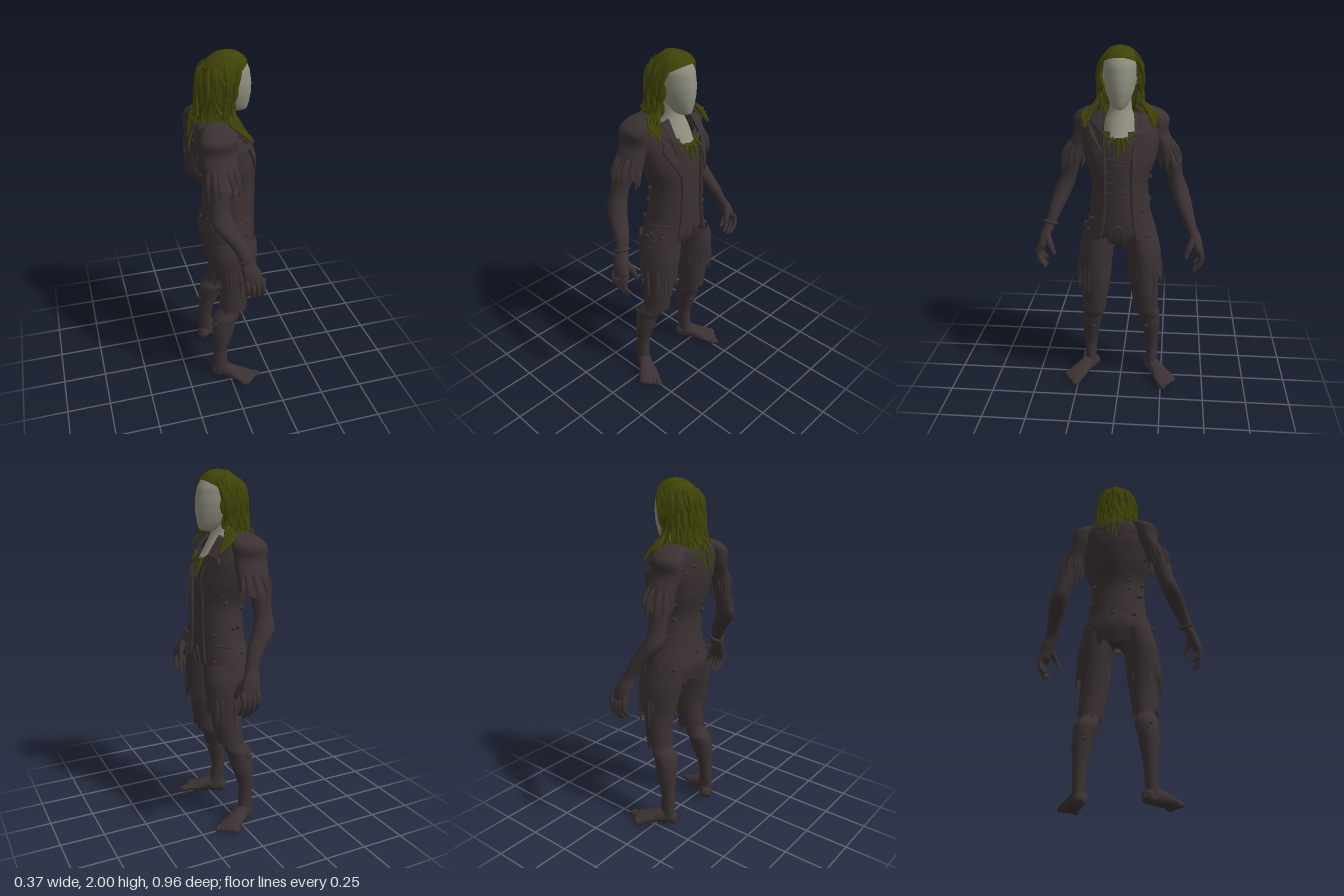
import * as THREE from 'three';

const V = (x, y, z) => new THREE.Vector3(x, y, z);
let seed = 7;
const rnd = () => (seed = (seed * 16807) % 2147483647) / 2147483647;
const TAU = Math.PI * 2;

const cloth = new THREE.MeshStandardMaterial({ color: 0x3b3132, side: THREE.DoubleSide });
cloth.name = 'dark brown';
const hairMat = new THREE.MeshStandardMaterial({ color: 0x404306, side: THREE.DoubleSide });
hairMat.name = 'moss green';
const skin = new THREE.MeshStandardMaterial({ color: 0x8f8f80 });
skin.name = 'pale grey';

// Smooth skin over sections [x, y, z, rx, r2, opening]; rings lie across y, or across z for feet
function loft(sections, { s = 1, n = 24, rows = 6, axis = 'y', open = false, tweak } = {}) {
  const mid = new THREE.CatmullRomCurve3(sections.map(p => V(p[0] * s, p[1], p[2])));
  const rad = new THREE.CatmullRomCurve3(sections.map(p => V(p[3], p[4], p[5] || 0)));
  const R = (sections.length - 1) * rows, cols = open ? n + 1 : n, pos = [], idx = [];
  for (let i = 0; i <= R; i++) {
    const c = mid.getPoint(i / R), r = rad.getPoint(i / R), a0 = open ? r.z : 0;
    for (let j = 0; j < cols; j++) {
      const t = a0 + (TAU - 2 * a0) * j / n, u = r.x * Math.sin(t), w = r.y * Math.cos(t);
      const p = axis === 'y' ? V(c.x + u, c.y, c.z + w) : V(c.x + u, c.y + w, c.z);
      if (tweak) tweak(p, i / R, j);
      pos.push(p.x, p.y, p.z);
    }
  }
  for (let i = 0; i < R; i++) for (let j = 0; j < n; j++) {
    const a = i * cols + j, b = i * cols + (j + 1) % cols;
    idx.push(a, a + cols, b, b, a + cols, b + cols);
  }
  const g = new THREE.BufferGeometry();
  g.setAttribute('position', new THREE.Float32BufferAttribute(pos, 3));
  g.setIndex(idx);
  g.computeVertexNormals();
  return g;
}

// Tube that tapers from r0 to r1 along points
function strand(points, r0, r1, seg = 10, sides = 6) {
  const curve = new THREE.CatmullRomCurve3(points.map(p => V(...p)));
  const g = new THREE.TubeGeometry(curve, seg, 1, sides), pos = g.attributes.position, p = V();
  for (let k = 0; k < pos.count; k++) {
    const f = Math.floor(k / (sides + 1)) / seg, c = curve.getPointAt(f);
    p.fromBufferAttribute(pos, k).sub(c).multiplyScalar(r0 + (r1 - r0) * f).add(c);
    pos.setXYZ(k, p.x, p.y, p.z);
  }
  return g;
}

// Uneven torn lower edge
const torn = (len, n) => {
  const drop = Array.from({ length: n + 1 }, (_, j) => (j % 3 ? 0.5 : 1) * rnd() * len);
  return (p, f, j) => { if (f > 0.75) p.y -= drop[j] * (f - 0.75) * 4; };
};

const JACKET = [
  [0, 1.68, -0.04, 0.09, 0.085, 1.0], [0, 1.645, -0.045, 0.165, 0.115, 0.75],
  [0, 1.58, -0.025, 0.215, 0.14, 0.5], [0, 1.5, -0.005, 0.215, 0.155, 0.42],
  [0, 1.4, 0.015, 0.195, 0.155, 0.4], [0, 1.25, 0.04, 0.155, 0.138, 0.5],
  [0, 1.1, 0.035, 0.17, 0.143, 0.5], [0, 1.0, 0.027, 0.2, 0.153, 0.5],
  [0, 0.91, 0.035, 0.217, 0.141, 0.58]];

// Front depth of the jacket at x, y
function chestZ(x, y) {
  let i = 0;
  while (i < JACKET.length - 2 && JACKET[i + 1][1] > y) i++;
  const a = JACKET[i], b = JACKET[i + 1], f = (a[1] - y) / (a[1] - b[1]);
  const m = k => a[k] + (b[k] - a[k]) * f;
  return m(2) + m(4) * Math.sqrt(Math.max(0, 1 - (x / m(3)) ** 2));
}

export function createModel() {
  seed = 7;
  const body = new THREE.Group();
  body.name = 'figure';
  const add = (name, geo, mat, parent = body) => {
    const m = new THREE.Mesh(geo, mat);
    m.name = name;
    parent.add(m);
    return m;
  };

  // Head and neck
  add('head', loft([[0, 1.978, 0.02, 0.01, 0.01], [0, 1.957, 0.022, 0.062, 0.092], [0, 1.9, 0.028, 0.088, 0.12],
    [0, 1.84, 0.033, 0.088, 0.125], [0, 1.78, 0.045, 0.078, 0.114], [0, 1.72, 0.067, 0.055, 0.083],
    [0, 1.685, 0.085, 0.032, 0.052], [0, 1.672, 0.09, 0.003, 0.005]]), skin);
  add('neck', loft([[0, 1.77, 0, 0.058, 0.06], [0, 1.67, 0, 0.06, 0.068], [0, 1.6, 0.01, 0.085, 0.09],
    [0, 1.53, 0.03, 0.09, 0.112]]), skin);
  for (const s of [-1, 1]) {
    const ear = add('ear', new THREE.SphereGeometry(0.03, 12, 8), skin);
    ear.scale.set(0.4, 1.1, 0.7);
    ear.position.set(s * 0.088, 1.83, 0.03);
  }

  // Shirt and hips
  add('shirt', loft([[0, 1.56, 0, 0.14, 0.115], [0, 1.5, 0.005, 0.19, 0.138], [0, 1.4, 0.015, 0.18, 0.14],
    [0, 1.25, 0.04, 0.142, 0.122], [0, 1.1, 0.035, 0.16, 0.13], [0, 1.0, 0.03, 0.18, 0.13],
    [0, 0.94, 0.03, 0.14, 0.115], [0, 0.89, 0.03, 0.02, 0.03]]), cloth);
  for (let k = 0; k < 6; k++) {
    const y = 1.1 + k * 0.06;
    add('shirtFold', strand([-0.08, -0.03, 0.03, 0.08].map(x => [x, y + rnd() * 0.02, chestZ(x, y) - 0.018]),
      0.007, 0.004), cloth);
  }

  // Jacket with edging, waist seam and lapels
  add('jacket', loft(JACKET, { n: 56, open: true, tweak: torn(0.05, 56) }), cloth);
  add('waistSeam', strand(Array.from({ length: 13 }, (_, k) => {
    const t = 0.9 + (TAU - 1.8) * k / 12;
    return [0.176 * Math.sin(t), 1.06 + 0.02 * Math.cos(t), 0.033 + 0.145 * Math.cos(t)];
  }), 0.007, 0.007, 40), cloth);
  for (const s of [-1, 1]) {
    add('jacketEdge', strand([...JACKET.slice(1).map(p =>
      [s * p[3] * Math.sin(p[5]), p[1], p[2] + p[4] * Math.cos(p[5])]),
    [s * 0.128, 0.84, 0.165], [s * 0.14, 0.74, 0.158]], 0.012, 0.009, 50), cloth);
    const lapel = new THREE.Shape([[0.075, 1.66], [0.17, 1.61], [0.15, 1.55], [0.165, 1.52], [0.125, 1.44],
      [0.085, 1.36], [0.075, 1.45], [0.085, 1.56]].map(([x, y]) => new THREE.Vector2(s * x, y)));
    const g = new THREE.ExtrudeGeometry(lapel, { depth: 0.014, bevelEnabled: false }), pos = g.attributes.position;
    for (let k = 0; k < pos.count; k++)
      pos.setZ(k, pos.getZ(k) + chestZ(pos.getX(k), pos.getY(k)) + 0.008);
    g.computeVertexNormals();
    add('lapel', g, cloth);
  }
  for (const x of [-0.035, 0.02])
    add('waistCord', strand([[0, 1.05, 0.16], [x, 1.02, 0.168], [x * 1.4, 0.93, 0.15]], 0.008, 0.005), cloth);

  for (const s of [-1, 1]) {
    // Sleeve with a sloping shoulder, and arm
    add('sleeve', loft([[0.1, 1.678, -0.045, 0.02, 0.04], [0.155, 1.65, -0.052, 0.06, 0.08],
      [0.192, 1.605, -0.062, 0.07, 0.1], [0.2, 1.54, -0.062, 0.058, 0.097], [0.238, 1.46, -0.06, 0.056, 0.09],
      [0.272, 1.39, -0.058, 0.066, 0.088]], { s, n: 32, tweak: torn(0.06, 32) }), cloth);
    for (let k = 0; k < 11; k++) {
      const t = TAU * (k + rnd() * 0.7) / 11, u = 0.062 * Math.sin(t), w = 0.083 * Math.cos(t);
      add('sleeveTatter', strand([[s * (0.24 + u * 0.6), 1.47, -0.06 + w * 0.8], [s * (0.262 + u), 1.41, -0.06 + w],
        [s * (0.275 + u), 1.37 - rnd() * 0.06, -0.058 + w]], 0.018, 0.004), cloth);
    }
    add('arm', loft([[0.2, 1.56, -0.06, 0.045, 0.065], [0.268, 1.4, -0.075, 0.052, 0.058],
      [0.302, 1.27, -0.086, 0.046, 0.052], [0.33, 1.19, -0.075, 0.05, 0.06], [0.372, 1.08, -0.005, 0.04, 0.045],
      [0.402, 1.0, 0.03, 0.031, 0.037], [0.425, 0.95, 0.045, 0.033, 0.048], [0.442, 0.89, 0.06, 0.028, 0.053],
      [0.448, 0.855, 0.065, 0.01, 0.038]], { s, n: 20 }), cloth);

    // Fingers and thumb
    for (let k = 0; k < 4; k++) {
      const z = 0.022 + k * 0.028, l = [0.085, 0.11, 0.115, 0.095][k];
      add('finger', strand([[s * 0.442, 0.9, z], [s * 0.462, 0.86, z], [s * 0.455, 0.86 - l * 0.5, z + 0.005],
        [s * 0.425, 0.87 - l, z + 0.008]], 0.019, 0.01, 10, 8), cloth);
    }
    add('thumb', strand([[s * 0.42, 0.95, 0.07], [s * 0.392, 0.9, 0.1], [s * 0.373, 0.845, 0.108]],
      0.022, 0.012, 10, 8), cloth);

    // Leg, shorts with hanging rags, torn knee cloth
    add('leg', loft([[0.1, 0.97, 0.03, 0.09, 0.12], [0.125, 0.83, 0.04, 0.083, 0.106],
      [0.138, 0.66, 0.05, 0.078, 0.086], [0.152, 0.53, 0.035, 0.062, 0.07], [0.167, 0.42, -0.02, 0.062, 0.07],
      [0.18, 0.34, -0.034, 0.056, 0.063], [0.187, 0.2, -0.053, 0.037, 0.041], [0.19, 0.1, -0.05, 0.034, 0.044],
      [0.19, 0.03, -0.045, 0.036, 0.048]], { s }), cloth);
    add('shorts', loft([[0.115, 0.97, 0.032, 0.09, 0.14], [0.132, 0.88, 0.04, 0.097, 0.136],
      [0.141, 0.8, 0.045, 0.096, 0.125], [0.146, 0.73, 0.05, 0.093, 0.112]],
      { s, n: 32, tweak: torn(0.07, 32) }), cloth);
    for (let k = 0; k < 14; k++) {
      const t = TAU * (k + rnd() * 0.7) / 14, u = 0.09 * Math.sin(t), w = 0.107 * Math.cos(t);
      const y = 0.71 - rnd() * 0.1 * (1.2 + Math.sin(t)) / 1.8;
      add('hemRag', strand([[s * (0.138 + u * 0.8), 0.83, 0.045 + w * 0.9], [s * (0.145 + u), 0.75, 0.05 + w],
        [s * (0.148 + u), y, 0.052 + w]], 0.02, 0.003), cloth);
    }
    add('trouserLeg', loft([[0.136, 0.72, 0.05, 0.08, 0.092], [0.145, 0.6, 0.046, 0.077, 0.084],
      [0.153, 0.52, 0.033, 0.07, 0.08]], { s, n: 32, tweak: torn(0.07, 32) }), cloth);

    // Foot with toes, turned outward
    const foot = new THREE.Group();
    foot.name = 'foot';
    foot.position.set(s * 0.188, 0, -0.05);
    foot.rotation.y = s * 0.55;
    body.add(foot);
    add('footBody', loft([[0, 0.035, -0.058, 0.005, 0.005], [0, 0.04, -0.04, 0.036, 0.036],
      [0, 0.05, 0.01, 0.038, 0.048], [0, 0.042, 0.08, 0.046, 0.04], [0, 0.03, 0.145, 0.06, 0.027],
      [0, 0.024, 0.19, 0.059, 0.02], [0, 0.02, 0.205, 0.02, 0.008]], { axis: 'z', s }), cloth, foot);
    for (let k = 0; k < 5; k++) {
      const toe = add('toe', new THREE.SphereGeometry(k ? 0.016 : 0.02, 10, 8), cloth, foot);
      toe.scale.z = 1.7;
      toe.position.set(s * (-0.045 + k * 0.024), 0.02, 0.204 - k * 0.009);
    }
  }
  const band = add('bracelet', new THREE.TorusGeometry(0.037, 0.01, 8, 20), cloth);
  band.position.set(-0.4, 1.005, 0.028);
  band.rotation.set(1.1, -0.2, 0);

  // Small growths on jacket and shins
  for (let k = 0; k < 40; k++) {
    const t = 0.8 + rnd() * 4.6, i = 2 + Math.floor(rnd() * 6), f = rnd();
    const m = q => JACKET[i][q] + (JACKET[i + 1][q] - JACKET[i][q]) * f;
    add('growth', new THREE.SphereGeometry(0.007 + rnd() * 0.007, 8, 6), cloth)
      .position.set(m(3) * Math.sin(t), m(1), m(2) + m(4) * Math.cos(t));
  }
  for (let k = 0; k < 16; k++) {
    const t = rnd() * TAU, s = k % 2 ? 1 : -1, y = 0.33 + rnd() * 0.09;
    add('legGrowth', new THREE.SphereGeometry(0.011, 8, 6), cloth)
      .position.set(s * 0.172 + 0.053 * Math.sin(t), y, -0.028 + 0.061 * Math.cos(t));
  }

  // Hair cap and back curtain
  const cap = add('hairCap', new THREE.SphereGeometry(1, 28, 14, 0, TAU, 0, Math.PI * 0.5), hairMat);
  cap.scale.set(0.112, 0.12, 0.138);
  cap.position.set(0, 1.872, 0.016);
  cap.rotation.x = -0.55;
  add('hairCurtain', loft([[0, 1.93, 0, 0.095, 0.108, 1.35], [0, 1.82, -0.005, 0.112, 0.122, 1.5],
    [0, 1.72, -0.015, 0.112, 0.125, 1.65], [0, 1.64, -0.03, 0.105, 0.13, 1.8]],
    { n: 40, open: true, tweak: torn(0.1, 40) }), hairMat);

  // Wavy hair locks rooted in the cap
  for (let k = 0; k < 50; k++) {
    const t = 1.1 + (TAU - 2.2) * (k + rnd() * 0.8) / 50, w = () => 1 + (rnd() - 0.5) * 0.18;
    const at = (r, y, lag, a) => [Math.sin(t + a) * r * w(), y, Math.cos(t + a) * r * 1.08 * w() - lag];
    const twist = (rnd() - 0.5) * 0.5, end = 1.5 + rnd() * 0.17 + Math.max(0, Math.cos(t) + 0.2) * 0.1;
    add('hairLock', strand([at(0.07, 1.935, 0, 0), at(0.103, 1.9 - rnd() * 0.03, 0, 0), at(0.113, 1.8, 0.003, twist),
      at(0.116, 1.7, 0.013, -twist * 0.6), at(0.125, (1.7 + end) / 2, 0.025, twist * 0.6),
      at(0.137, end, 0.033, 0)], 0.012 + rnd() * 0.009, 0.004, 20), hairMat);
  }
  // Thin strands across the crown
  for (let k = 0; k < 9; k++) {
    const a = -1.2 + k * 0.3, r = rnd() * 0.3, top = [Math.sin(a) * 0.05, 1.975, 0];
    add('crownStrand', strand([[0, 1.978, -0.03], top, [Math.sin(a + r) * 0.095, 1.945, 0.04 + Math.cos(a) * 0.04],
      [Math.sin(a + r) * 0.112, 1.9, 0.025]], 0.011, 0.006, 14), hairMat);
  }
  // Locks beside the face that lie on the chest
  for (const s of [-1, 1]) for (let k = 0; k < 4; k++) {
    const o = k * 0.016, b = (rnd() - 0.5) * 0.02;
    add('frontLock', strand([[s * 0.03, 1.968, 0.06 - o], [s * 0.088, 1.93, 0.07 - o],
      [s * (0.113 + b), 1.83, 0.045 - o], [s * (0.112 - b), 1.72, 0.03], [s * (0.145 + o * 0.4), 1.668, 0.055 - o],
      [s * (0.185 + o * 0.3), 1.585 + o, 0.1 - o]], 0.014, 0.01, 20), hairMat);
  }

  // Weed strips hanging at the neckline
  for (const [x, y] of [[-0.055, 1.5], [-0.005, 1.43], [0.03, 1.46], [0.065, 1.5]])
    add('neckWeed', strand([[x * 0.5, 1.535, 0.144], [x * 0.8, (1.535 + y) / 2, 0.158], [x, y, 0.165]],
      0.011, 0.006), hairMat);
  add('neckWeedBand', strand([[-0.085, 1.555, 0.125], [-0.04, 1.528, 0.144], [0.04, 1.528, 0.144],
    [0.085, 1.555, 0.125]], 0.009, 0.009), hairMat);

  // The figure faces +x
  body.rotation.y = Math.PI / 2;
  const model = new THREE.Group();
  model.name = 'raggedFigure';
  model.add(body);
  return model;
}
